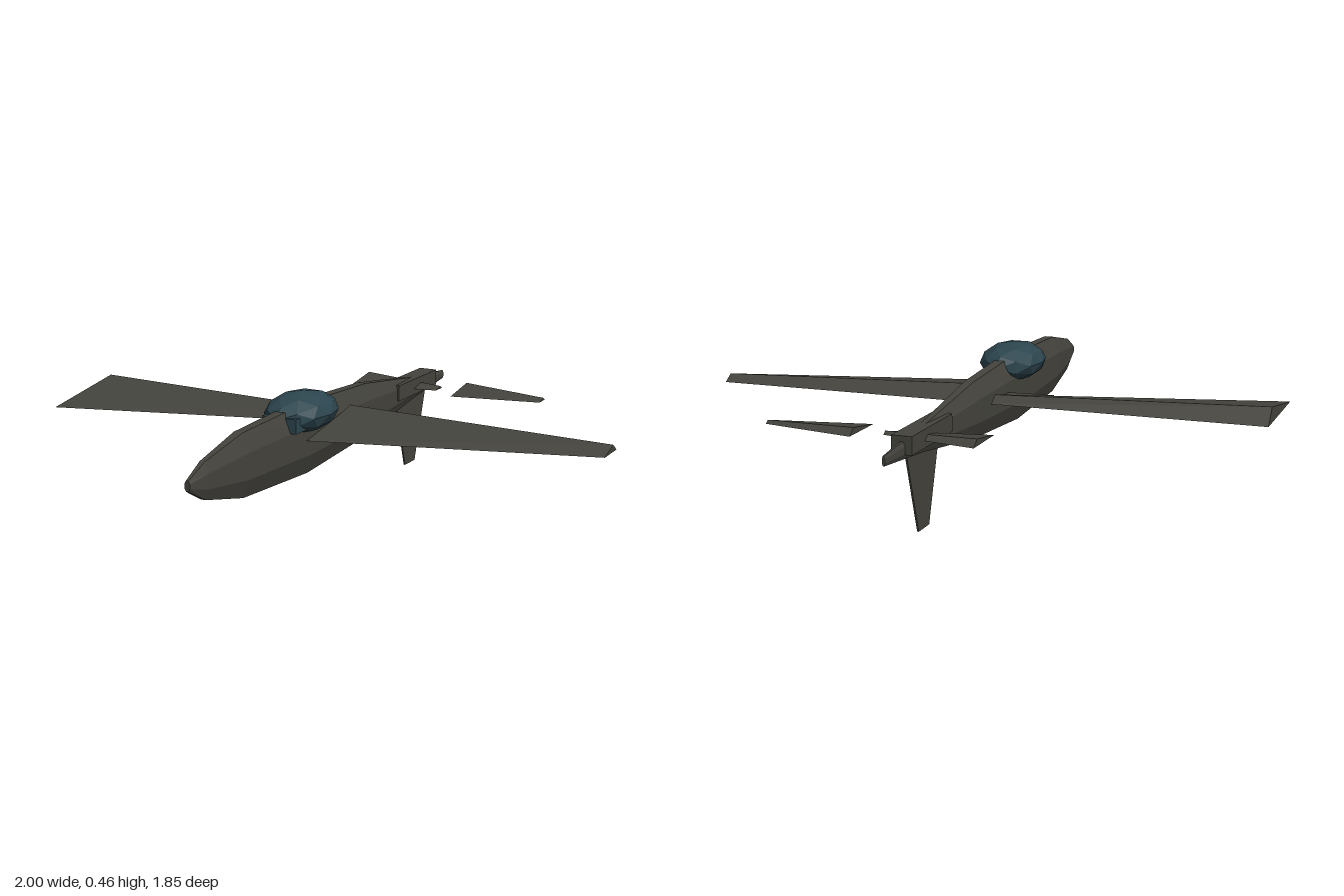
import * as THREE from 'three';
import { ConvexGeometry } from 'three/addons/geometries/ConvexGeometry.js';

const paint = new THREE.MeshStandardMaterial({ color: 0x44433d, flatShading: true });
const glass = new THREE.MeshStandardMaterial({ color: 0x2c454e, flatShading: true });

function part(name, geometry, material = paint) {
  const mesh = new THREE.Mesh(geometry, material);
  mesh.name = name;
  return mesh;
}

// Convex solid from its corner points
const hull = (points) => new ConvexGeometry(points.map((p) => new THREE.Vector3(...p)));

// Tapered panel with a triangular section: [leading z, ridge z, trailing z, ridge y]
function panel(x0, x1, y, root, tip) {
  const section = (x, [lead, ridge, trail, top]) => [[x, y, lead], [x, top, ridge], [x, y, trail]];
  return hull([...section(x0, root), ...section(x1, tip)]);
}

// Faceted body: stations of [z, bottom y, top y, half width]
function fuselage() {
  const stations = [
    [0.925, 0.285, 0.32, 0.01], [0.84, 0.238, 0.36, 0.022], [0.63, 0.19, 0.405, 0.039],
    [0.22, 0.172, 0.42, 0.048], [-0.22, 0.2, 0.398, 0.04], [-0.64, 0.255, 0.34, 0.02],
    [-0.925, 0.28, 0.312, 0.005],
  ];
  const rows = stations.length - 1;
  const geo = new THREE.CylinderGeometry(1, 1, 1, 8, rows);
  geo.rotateY(Math.PI / 8);
  geo.rotateX(Math.PI / 2);
  const pos = geo.attributes.position;
  const flat = Math.cos(Math.PI / 8);
  for (let i = 0; i < pos.count; i++) {
    const [z, low, high, half] = stations[Math.round((0.5 - pos.getZ(i)) * rows)];
    pos.setXYZ(i, (pos.getX(i) / flat) * half,
      (low + high) / 2 + (pos.getY(i) / flat) * (high - low) / 2, z);
  }
  geo.computeVertexNormals();
  return geo;
}

export function createModel() {
  const model = new THREE.Group();
  model.name = 'aircraft';
  model.add(part('fuselage', fuselage()));

  // Wings: both panels taper toward +x
  for (const [name, x] of [['leftWing', 0], ['rightWing', -1]]) {
    model.add(part(name, panel(x, x + 1, 0.3,
      [0.287, -0.057, -0.11, 0.356], [0, -0.08, -0.118, 0.325])));
  }

  // Thin plate joining the wings under the body
  const plate = [];
  for (const y of [0.3, 0.308]) {
    plate.push([-0.21, y, 0.06], [0.1, y, 0.04], [0.1, y, -0.1], [-0.21, y, -0.1]);
  }
  model.add(part('wingJoiner', hull(plate)));

  // Tailplanes, also tapering toward +x
  for (const [name, x] of [['leftTailplane', 0.21], ['rightTailplane', -0.21]]) {
    model.add(part(name, panel(x, x + 0.33, 0.305,
      [-0.54, -0.69, -0.72, 0.328], [-0.605, -0.645, -0.66, 0.315])));
  }

  // Block carrying the tail surfaces
  const block = part('tailBlock', new THREE.BoxGeometry(0.07, 0.06, 0.33));
  block.position.set(0, 0.313, -0.625);
  model.add(block);

  // Fin hanging below the tail
  const fin = [];
  for (const x of [-0.003, 0.003]) {
    fin.push([x, 0, -0.585], [x, 0, -0.67], [x, 0.3, -0.768], [x, 0.3, -0.49]);
  }
  model.add(part('ventralFin', hull(fin)));

  // Canopy bubble with a blunt front frame
  const bubble = part('canopy', new THREE.IcosahedronGeometry(1, 1), glass);
  bubble.scale.set(0.114, 0.07, 0.165);
  bubble.position.set(0, 0.389, 0.222);
  model.add(bubble);
  const frame = part('canopyFrame', new THREE.BoxGeometry(0.13, 0.05, 0.1), glass);
  frame.position.set(0, 0.372, 0.325);
  model.add(frame);

  return model;
}
